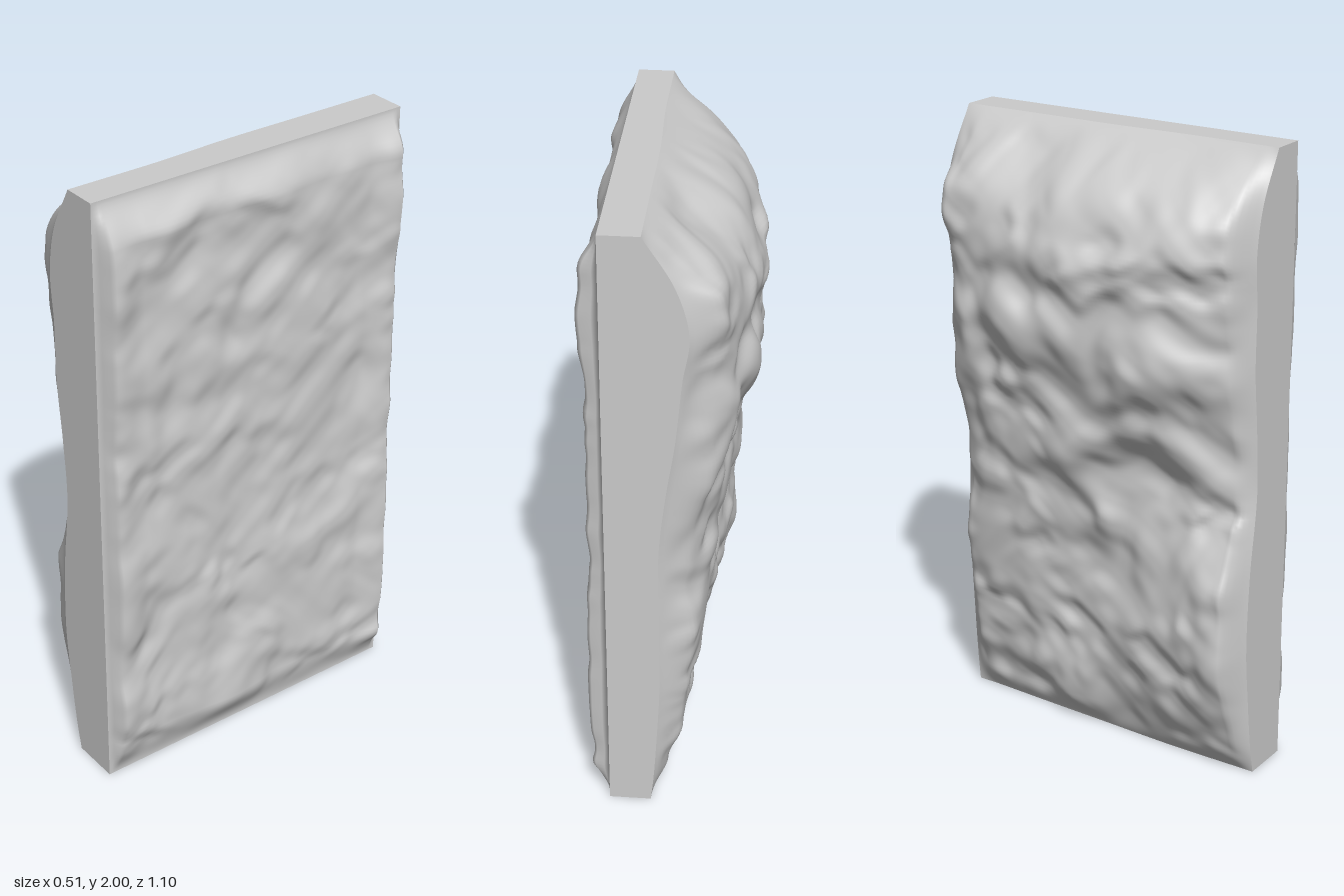
import * as THREE from 'three';
import { ParametricGeometry } from 'three/addons/geometries/ParametricGeometry.js';

const HALF_Z = 0.55, HEIGHT = 2, NY = 150, NZ = 100;
const { lerp, smoothstep } = THREE.MathUtils;

// Smooth seeded value noise in 2D, range -1..1
function hash(i, j, seed) {
  const s = Math.sin(i * 127.1 + j * 311.7 + seed * 74.7) * 43758.5453;
  return (s - Math.floor(s)) * 2 - 1;
}
function noise(a, b, seed) {
  const i = Math.floor(a), j = Math.floor(b);
  const ease = (t) => t * t * t * (t * (t * 6 - 15) + 10);
  const u = ease(a - i), v = ease(b - j);
  return lerp(lerp(hash(i, j, seed), hash(i + 1, j, seed), u),
    lerp(hash(i, j + 1, seed), hash(i + 1, j + 1, seed), u), v);
}

// Noise on warped coordinates, so that no grid shows
function rock(y, z, scale, seed) {
  const a = y * scale + 0.6 * noise(y * 4, z * 4, seed + 1);
  const b = z * scale + 0.6 * noise(y * 4, z * 4, seed + 2);
  return noise(a * 0.8 + b * 0.6, b * 0.8 - a * 0.6, seed);
}

// Cubic interpolation through unevenly spaced knots
function spline(knots, values, t) {
  const n = knots.length;
  let i = 0;
  while (i < n - 2 && t > knots[i + 1]) i++;
  const slope = (k) => {
    const a = Math.max(k - 1, 0), b = Math.min(k + 1, n - 1);
    return (values[b] - values[a]) / (knots[b] - knots[a]);
  };
  const h = knots[i + 1] - knots[i], s = (t - knots[i]) / h, s2 = s * s, s3 = s2 * s;
  return (2 * s3 - 3 * s2 + 1) * values[i] + (s3 - 2 * s2 + s) * h * slope(i)
    + (3 * s2 - 2 * s3) * values[i + 1] + (s3 - s2) * h * slope(i + 1);
}

// Bulge of the rough face towards -x, in hundredths: a row per height, a column per depth
const zKnots = [-0.55, -0.47, -0.25, 0, 0.25, 0.5, 0.55];
const yKnots = [0, 0.1, 0.25, 0.45, 0.7, 0.95, 1.15, 1.35, 1.55, 1.7, 1.85, 2];
const bulge = [
  [-5, -5, -4, -3, -2, -2, -2],
  [-4, 0, 1, 2, 4, 4, 0],
  [-3, 5, 5, 5, 8, 9, 2],
  [-2, 7, 7, 7, 11, 14, 4],
  [-2, 8, 11, 8, 8, 12, 3],
  [-2, 8, 14, 15, 7, 4, 0],
  [0, 11, 16, 17, 14, 6, 1],
  [3, 13, 21, 22, 23, 11, 3],
  [5, 15, 21, 22, 22, 12, 3],
  [7, 17, 22, 23, 21, 13, 4],
  [3, 11, 14, 15, 13, 8, 1],
  [-6, -6, -6, -6, -7, -7, -7],
];

// 0 at the top, bottom and side rims, rising to 1 at the given distances inside them
function inside(y, z, widthY, widthZ) {
  return smoothstep(y, 0, widthY) * smoothstep(HEIGHT - y, 0, widthY)
    * smoothstep(HALF_Z - Math.abs(z), 0, widthZ);
}

// Rough, heavily broken face, with the largest lumps in its upper half
function roughX(y, z) {
  const base = spline(yKnots, bulge.map((row) => spline(zKnots, row, z)), y) / 100;
  const size = 0.02 + 0.014 * smoothstep(y, 0.7, 1.4);
  const lumps = size * rock(y, z, 6, 3) + 0.011 * rock(y, z, 13, 8);
  return -base - lumps * inside(y, z, 0.1, 0.06);
}

// Gently pitted face: a narrow wavy ridge along the upright rims, a long slope at top and bottom
function pittedX(y, z) {
  const ridge = 0.017 * (1 - smoothstep(HALF_Z - Math.abs(z), 0.04, 0.14));
  const shoulder = 0.01 * smoothstep(y, 1.55, 1.8);
  const pits = 0.014 * rock(y, z, 6, 15) + 0.006 * rock(y, z, 13, 21);
  return 0.18 + inside(y, z, 0.13, 0.03) * (0.037 + ridge + shoulder + pits);
}

export function createModel() {
  const group = new THREE.Group();
  group.name = 'stoneSlab';
  const material = new THREE.MeshStandardMaterial({ color: 0xcccccc, roughness: 0.9 });

  const add = (name, fn, nu, nv) => {
    const mesh = new THREE.Mesh(new ParametricGeometry(fn, nu, nv), material);
    mesh.name = name;
    group.add(mesh);
  };
  const yAt = (t) => t * HEIGHT;
  const zAt = (t) => (t * 2 - 1) * HALF_Z;
  // Point on a cut edge, t running from the rough face to the pitted one
  const across = (t, y, z, p) => p.set(lerp(roughX(y, z), pittedX(y, z), t), y, z);

  // Broad faces
  add('pittedFace', (u, v, p) => p.set(pittedX(yAt(u), zAt(v)), yAt(u), zAt(v)), NY, NZ);
  add('roughFace', (u, v, p) => p.set(roughX(yAt(v), zAt(u)), yAt(v), zAt(u)), NZ, NY);

  // Flat cut edges
  add('frontEdge', (u, v, p) => across(u, yAt(v), HALF_Z, p), 2, NY);
  add('backEdge', (u, v, p) => across(v, yAt(u), -HALF_Z, p), NY, 2);
  add('topEdge', (u, v, p) => across(v, HEIGHT, zAt(u), p), NZ, 2);
  add('bottomEdge', (u, v, p) => across(u, 0, zAt(v), p), 2, NZ);

  return group;
}
